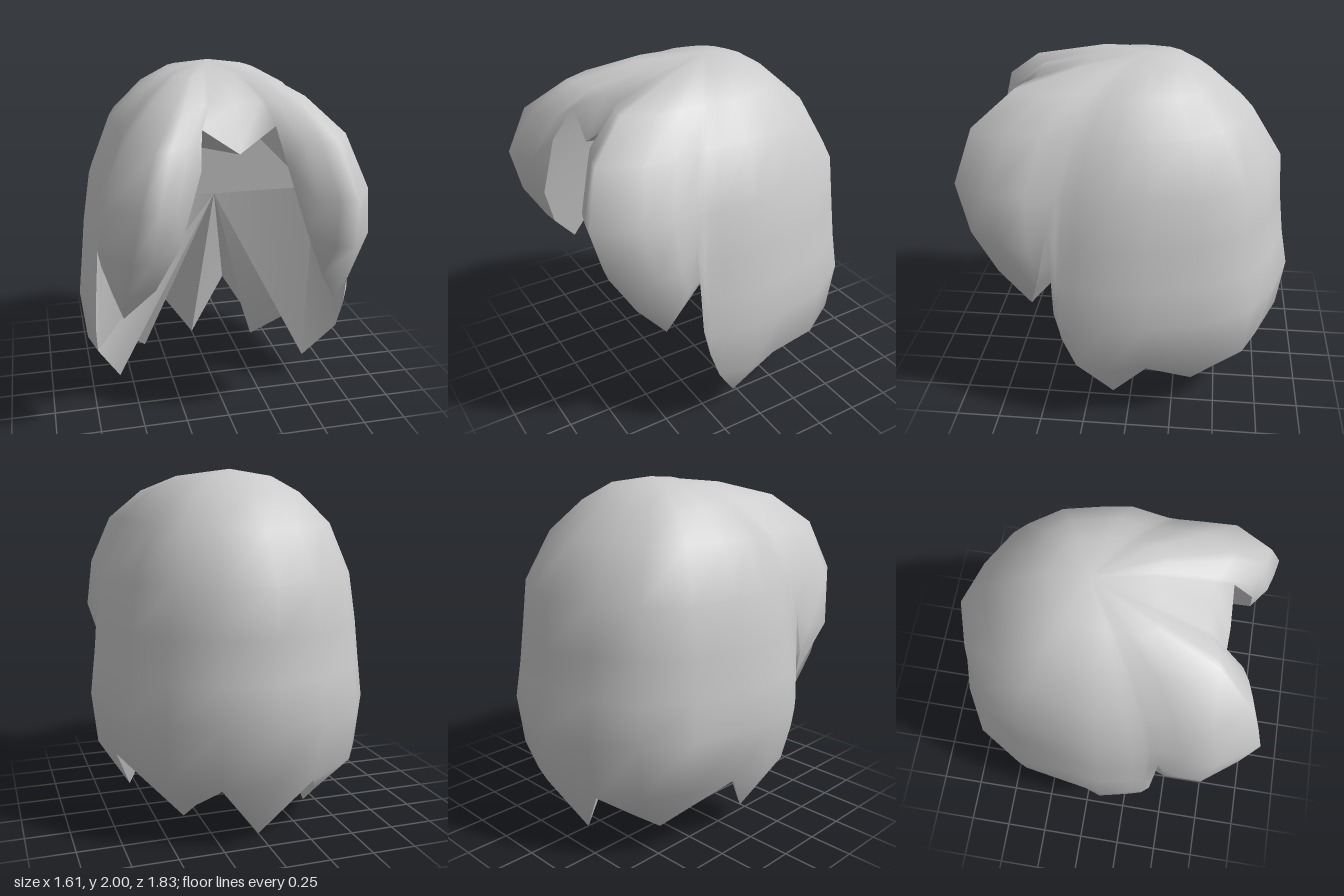
import * as THREE from 'three';
import { toCreasedNormals } from 'three/addons/utils/BufferGeometryUtils.js';

// Height levels below the crown, with how far the hair has spread at each one
const LEVELS = [1.96, 1.87, 1.7, 1.42, 1.15, 0.92, 0.7, 0.4];
const SIDE = [0.31, 0.52, 0.74, 0.885, 0.94, 0.97, 1, 0.96];
const FRONT = [0.36, 0.7, 0.91, 1, 0.93, 0.79, 0.7, 0.6];
const BACK = [0.26, 0.44, 0.68, 0.89, 0.915, 0.95, 1, 0.95];
const CROWN = [0, 2, -0.07];

// Strands from the front parting round to the nape: plan x, plan z, rim x, y, z
const STRANDS = [
  [0, 0.88, 0, 1.63, 0.67],
  [0.25, 0.88, 0.19, 1.76, 0.65],
  [0.31, 0.9, 0.22, 1.58, 0.77],
  [0.4, 0.94, 0.33, 1.22, 0.81],
  [0.51, 0.97, 0.45, 0.95, 0.72],
  [0.62, 0.99, 0.6, 0.72, 0.54],
  [0.775, 0.78, 0.65, 0.85, 0.5],
  [0.765, 0.62, 0.7, 1.0, 0.46],
  [0.755, 0.5, 0.7, 1.25, 0.41],
  [0.755, 0.47, 0.735, 0.75, 0.39],
  [0.755, 0.44, 0.74, 0.58, 0.35],
  [0.77, 0.36, 0.73, 0.4, 0.28],
  [0.805, 0.17, 0.59, 0.11, 0.09],
  [0.77, -0.04, 0.7, 0.38, -0.11],
  [0.7, -0.35, 0.37, 0.06, -0.36],
  [0.54, -0.61, 0.35, 0.2, -0.55],
  [0.29, -0.75, 0.26, 0.34, -0.74],
  [0, -0.84, 0, 0, -0.59],
];

// One strand as points running down from the crown and ending at its rim
function strandPoints([px, pz, rx, ry, rz]) {
  const end = pz > 0 ? FRONT : BACK;
  const blend = THREE.MathUtils.clamp(pz > 0 ? (pz - 0.4) / 0.4 : -pz / 0.6, 0, 1);
  return LEVELS.map((y, k) => (y > ry + 0.1
    ? [px * SIDE[k], y, CROWN[2] + pz * THREE.MathUtils.lerp(SIDE[k], end[k], blend)]
    : [rx, ry, rz])).concat([[rx, ry, rz]]);
}

// Where the lining behind each rim point ends: brow top, brow side or centre
const BROW_TOP = [0.5, 1.58, 0.15];
const BROW_SIDE = [0.62, 1.25, 0.1];
const BROW_CENTRE = [0, 1.25, 0.1];
function liningPoint(i) {
  if (i <= 4) return [Math.min(i * 0.25, 0.5), BROW_TOP[1], BROW_TOP[2]];
  return i <= 11 ? BROW_SIDE : BROW_CENTRE;
}

const flip = ([x, y, z]) => [-x, y, z];
// Completes a half ring with its mirror image
const mirrorRing = (half) =>
  [...half, ...half.slice(1, -1).reverse().map((c) => c.map(flip))];

// Indexed triangles with shared corners; empty triangles are dropped
function surface(triangles) {
  const ids = new Map(), positions = [], index = [];
  for (const tri of triangles) {
    const t = tri.map((p) => {
      const key = p.map((v) => Math.round(v * 1e4) + 0).join();
      if (!ids.has(key)) {
        ids.set(key, positions.length / 3);
        positions.push(...p);
      }
      return ids.get(key);
    });
    if (new Set(t).size === 3) index.push(...t);
  }
  const g = new THREE.BufferGeometry();
  g.setAttribute('position', new THREE.Float32BufferAttribute(positions, 3));
  g.setIndex(index);
  g.computeVertexNormals();
  return g;
}

// Skin over neighbouring columns of points
function skin(columns) {
  const tris = [];
  columns.forEach((a, i) => {
    const b = columns[(i + 1) % columns.length];
    for (let j = 0; j < a.length - 1; j++) {
      tris.push([a[j + 1], b[j + 1], b[j]], [a[j + 1], b[j], a[j]]);
    }
  });
  return tris;
}

export function createModel() {
  const group = new THREE.Group();
  group.name = 'hair';
  const material = new THREE.MeshStandardMaterial({ color: 0xcccccc, side: THREE.DoubleSide });
  const add = (name, geometry) => {
    const mesh = new THREE.Mesh(geometry, material);
    mesh.name = name;
    group.add(mesh);
  };

  // Outer hair with fringe, side locks and pointed nape
  const outer = STRANDS.map((s) => [CROWN, ...strandPoints(s)]);
  add('outerHair', surface(skin(mirrorRing(outer))));

  // Lining from the rim inward, facing the head
  const inner = STRANDS.map((s, i) => [liningPoint(i), s.slice(2)].reverse());
  add('lining', toCreasedNormals(surface(skin(mirrorRing(inner))), 1.2));

  // Brow band closing the lining above the face
  add('browBand', surface([
    [flip(BROW_SIDE), BROW_SIDE, BROW_TOP],
    [flip(BROW_SIDE), BROW_TOP, flip(BROW_TOP)],
  ]));
  return group;
}
